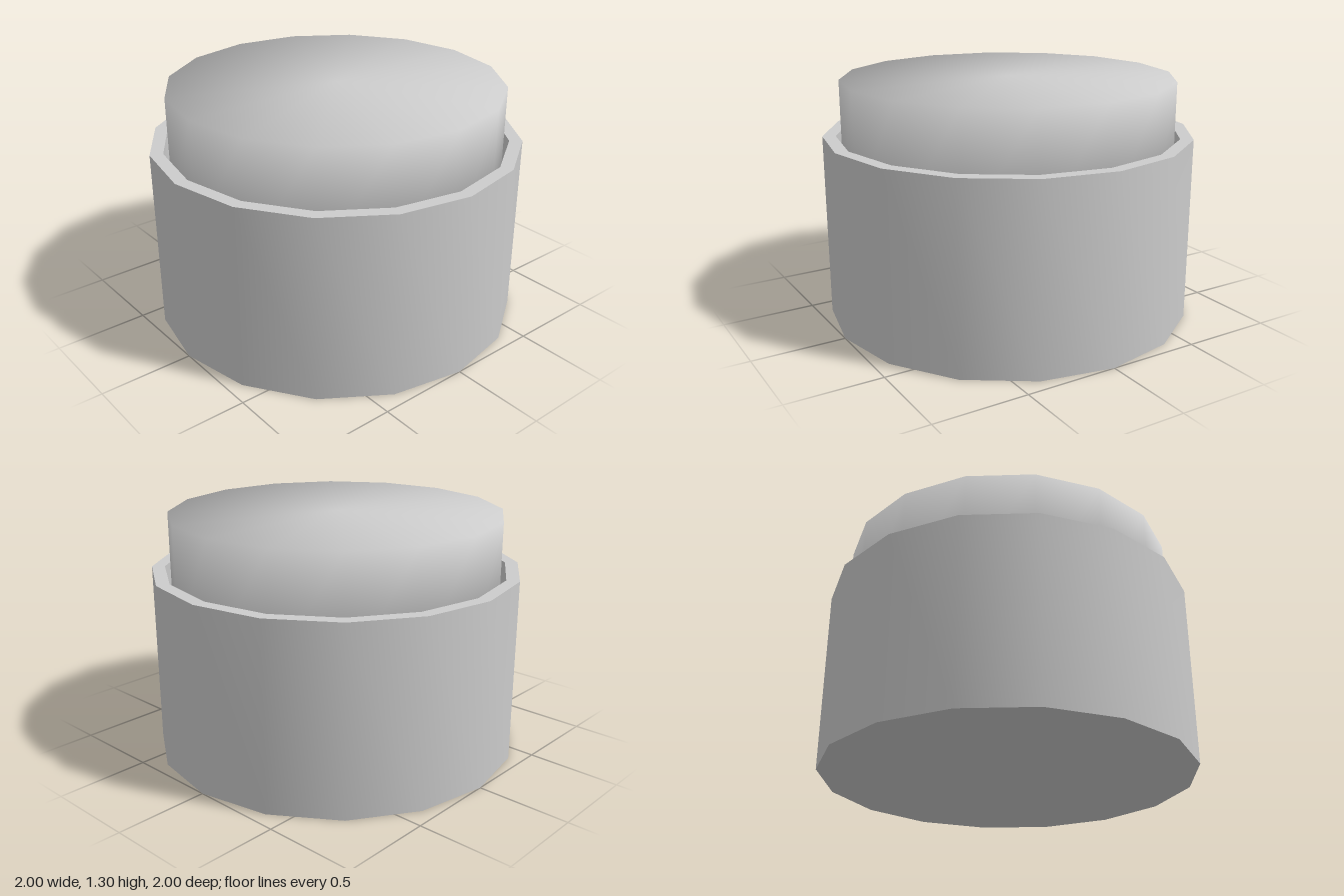
import * as THREE from 'three';
import { mergeVertices, toCreasedNormals } from 'three/addons/utils/BufferGeometryUtils.js';

const SIDES = 16;

export function createModel() {
  const group = new THREE.Group();
  const grey = new THREE.MeshStandardMaterial({ color: 0xcccccc });

  // Housing: closed cup with a thin wall and a recessed floor
  const profile = [
    [0, 0], [1, 0], [1, 1], [0.93, 1], [0.93, 0.7], [0, 0.7],
  ].map(([r, y]) => new THREE.Vector2(r, y));
  const housing = new THREE.Mesh(
    toCreasedNormals(new THREE.LatheGeometry(profile, SIDES), Math.PI / 6), grey);
  housing.name = 'housing';
  group.add(housing);

  // Button: flat-topped cylinder, smooth shaded across its rims
  const cylinder = new THREE.CylinderGeometry(0.9, 0.9, 0.6, SIDES);
  cylinder.deleteAttribute('normal');
  cylinder.deleteAttribute('uv');
  const smooth = mergeVertices(cylinder);
  smooth.computeVertexNormals();
  const button = new THREE.Mesh(smooth, grey);
  button.name = 'button';
  button.position.y = 1;
  group.add(button);

  return group;
}
